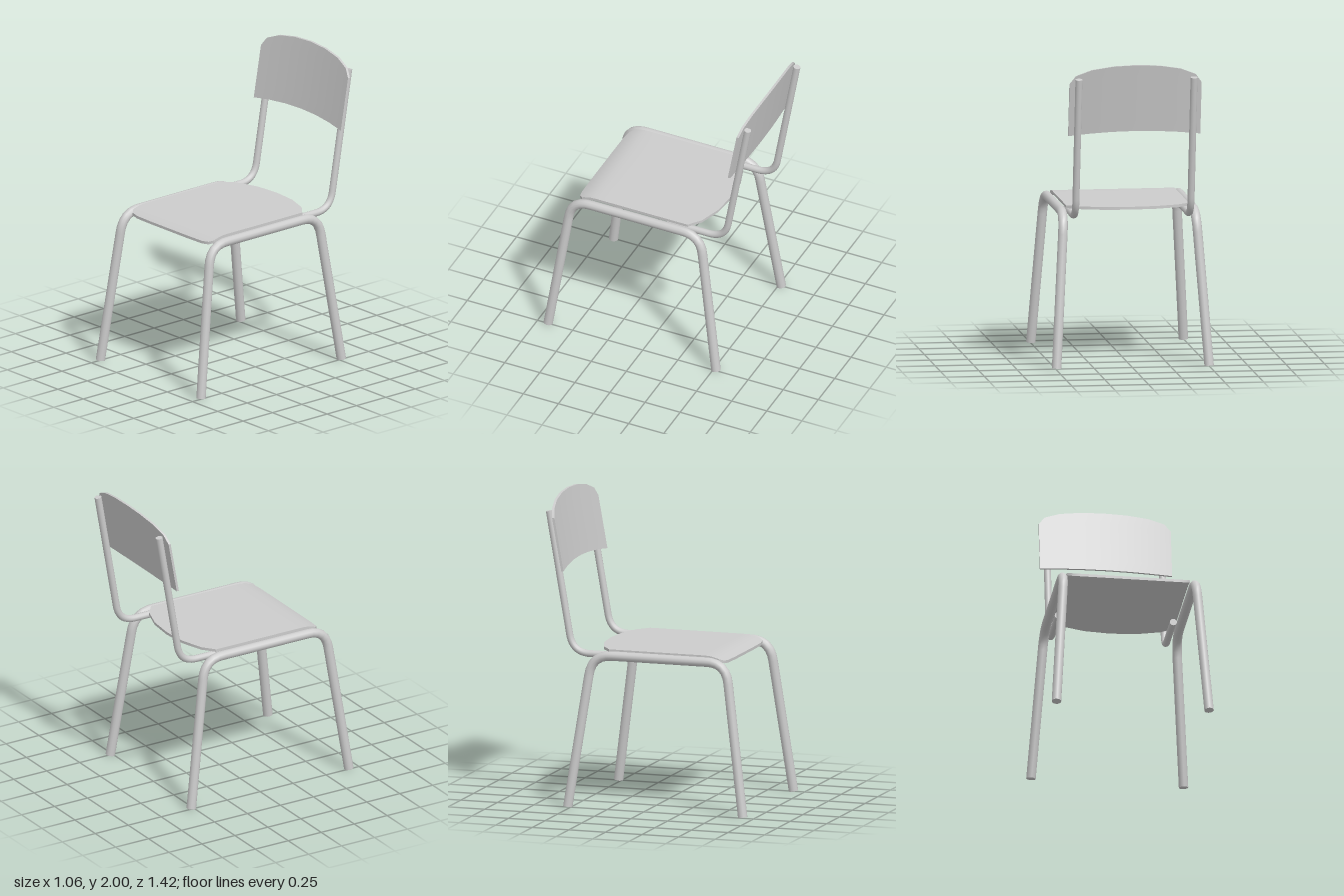
import * as THREE from 'three';
import { mergeGeometries } from 'three/addons/utils/BufferGeometryUtils.js';

const material = new THREE.MeshStandardMaterial({ color: 0xcccccc });

function part(name, geometry) {
  const mesh = new THREE.Mesh(geometry, material);
  mesh.name = name;
  return mesh;
}

// Capped tube through the given points, with every inner corner rounded
function bentTube(points, radius, cut) {
  const p = points.map(a => new THREE.Vector3(...a));
  const path = new THREE.CurvePath();
  let from = p[0];
  for (let i = 1; i < p.length - 1; i++) {
    const toward = q => p[i].clone().add(q.clone().sub(p[i]).setLength(cut));
    const start = toward(p[i - 1]), end = toward(p[i + 1]);
    path.add(new THREE.LineCurve3(from, start));
    path.add(new THREE.QuadraticBezierCurve3(start, p[i], end));
    from = end;
  }
  path.add(new THREE.LineCurve3(from, p[p.length - 1]));
  const pieces = [new THREE.TubeGeometry(path, 72, radius, 12)];
  for (const t of [0, 1]) {
    const cap = new THREE.CircleGeometry(radius, 12);
    const direction = path.getTangentAt(t).multiplyScalar(t ? 1 : -1);
    cap.applyQuaternion
      ? cap.applyQuaternion(new THREE.Quaternion().setFromUnitVectors(new THREE.Vector3(0, 0, 1), direction))
      : cap.lookAt(direction);
    const c = path.getPointAt(t);
    cap.translate(c.x, c.y, c.z);
    pieces.push(cap);
  }
  return mergeGeometries(pieces);
}

// Bends a subdivided unit box by a rule; its split edges stay sharp
function bentBox(nx, ny, nz, rule) {
  const g = new THREE.BoxGeometry(1, 1, 1, nx, ny, nz);
  const pos = g.attributes.position;
  for (let i = 0; i < pos.count; i++) {
    pos.setXYZ(i, ...rule(pos.getX(i), pos.getY(i), pos.getZ(i)));
  }
  g.computeVertexNormals();
  return g;
}

// Column number counted from the middle (0) to the side (4)
const column = x => Math.round(Math.abs(x) * 8);

export function createModel() {
  const chair = new THREE.Group();
  chair.name = 'chair';

  // Side frames (front leg, seat rail, back leg) and backrest posts
  for (const [side, s] of [['left', 1], ['right', -1]]) {
    chair.add(part(side + 'LegFrame', bentTube([
      [s * 0.497, 0.004, 0.675], [s * 0.43, 0.995, 0.537],
      [s * 0.43, 0.995, -0.377], [s * 0.497, 0.004, -0.52],
    ], 0.031, 0.13)));
    chair.add(part(side + 'BackPost', bentTube([
      [s * 0.375, 0.991, -0.12], [s * 0.375, 0.991, -0.529], [s * 0.375, 1.912, -0.689],
    ], 0.023, 0.12)));
  }

  // Seat: thin sheet with an arched back edge and a front edge that rolls down
  const seatX = [0, 0.17, 0.32, 0.375, 0.4];
  const seatBack = [-0.4, -0.385, -0.335, -0.29, -0.272];
  const seatFront = [0.517, 0.517, 0.515, 0.505, 0.48];
  chair.add(part('seat', bentBox(8, 1, 16, (x, y, z) => {
    const c = column(x);
    const t = 1 - (0.5 - z) ** 1.5;
    const depth = THREE.MathUtils.lerp(seatBack[c], seatFront[c], t);
    const roll = Math.max(0, (depth - 0.38) / 0.137);
    return [Math.sign(x) * seatX[c], 1.023 + y * 0.018 - 0.036 * roll * roll, depth];
  })));

  // Backrest: leaning sheet curved around the sitter, with an arched top
  const backX = [0, 0.15, 0.29, 0.39, 0.43];
  const backTop = [2, 1.993, 1.97, 1.93, 1.875];
  chair.add(part('backrest', bentBox(8, 6, 1, (x, y, z) => {
    const c = column(x);
    const bow = (backX[c] / 0.43) ** 2;
    const height = THREE.MathUtils.lerp(1.56 - 0.03 * bow, backTop[c], y + 0.5);
    const depth = -0.613 - (height - 1.56) * 0.18 + 0.027 * bow + z * 0.016;
    return [Math.sign(x) * backX[c], height, depth];
  })));

  return chair;
}
